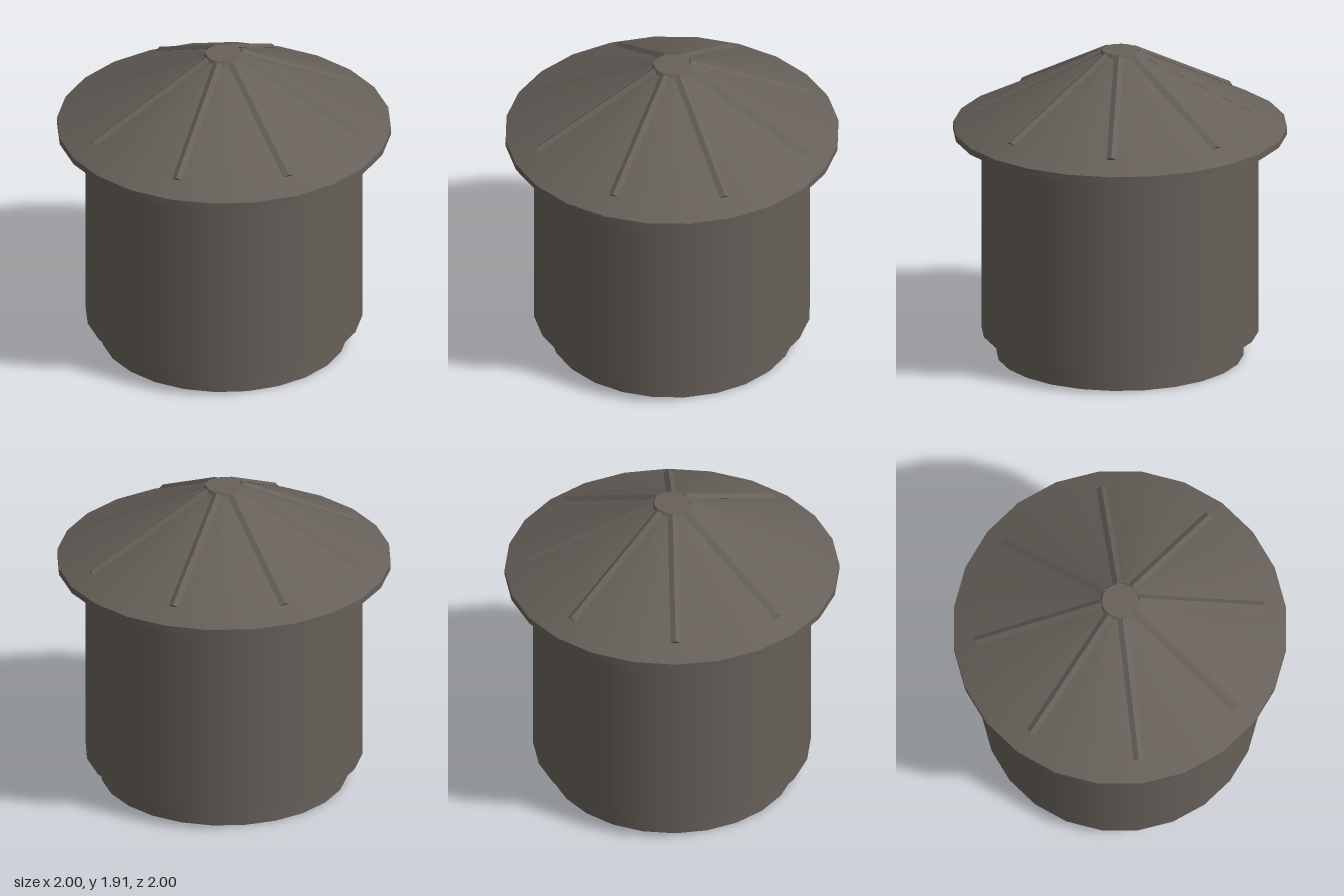
import * as THREE from 'three';

const SIDES = 24;
const metal = new THREE.MeshStandardMaterial({ color: 0x67605a });
metal.name = 'dark warm grey';

// Vertical drum or cone between two heights
function drum(name, rTop, rBottom, y0, y1, open = false) {
  const geo = new THREE.CylinderGeometry(rTop, rBottom, y1 - y0, SIDES, 1, open);
  geo.translate(0, (y0 + y1) / 2, 0);
  const mesh = new THREE.Mesh(geo, metal);
  mesh.name = name;
  return mesh;
}

export function createModel() {
  const model = new THREE.Group();
  model.name = 'ventCap';

  // Stacked body
  model.add(drum('base', 0.74, 0.74, 0, 0.15));
  model.add(drum('body', 0.83, 0.83, 0.15, 1.39));
  model.add(drum('roofRim', 1, 1, 1.39, 1.43));
  model.add(drum('roof', 0.11, 1, 1.43, 1.89, true));
  model.add(drum('roofCap', 0.108, 0.125, 1.875, 1.905));

  // Eight raised seams with a diamond section lying along the roof slope
  const inner = new THREE.Vector2(0.11, 1.89);
  const outer = new THREE.Vector2(0.87, 1.497);
  const section = new THREE.Shape([
    new THREE.Vector2(0.03, 0), new THREE.Vector2(0, 0.018),
    new THREE.Vector2(-0.03, 0), new THREE.Vector2(0, -0.018),
  ]);
  const ribGeo = new THREE.ExtrudeGeometry(section, {
    depth: inner.distanceTo(outer), bevelEnabled: false,
  });
  ribGeo.rotateX(Math.atan2(inner.y - outer.y, outer.x - inner.x));
  ribGeo.translate(0, inner.y, inner.x);

  const ribs = new THREE.Group();
  ribs.name = 'roofRibs';
  for (let i = 0; i < 8; i++) {
    const rib = new THREE.Mesh(ribGeo, metal);
    rib.name = 'roofRib';
    rib.rotation.y = (i * Math.PI) / 4;
    ribs.add(rib);
  }
  model.add(ribs);
  return model;
}
